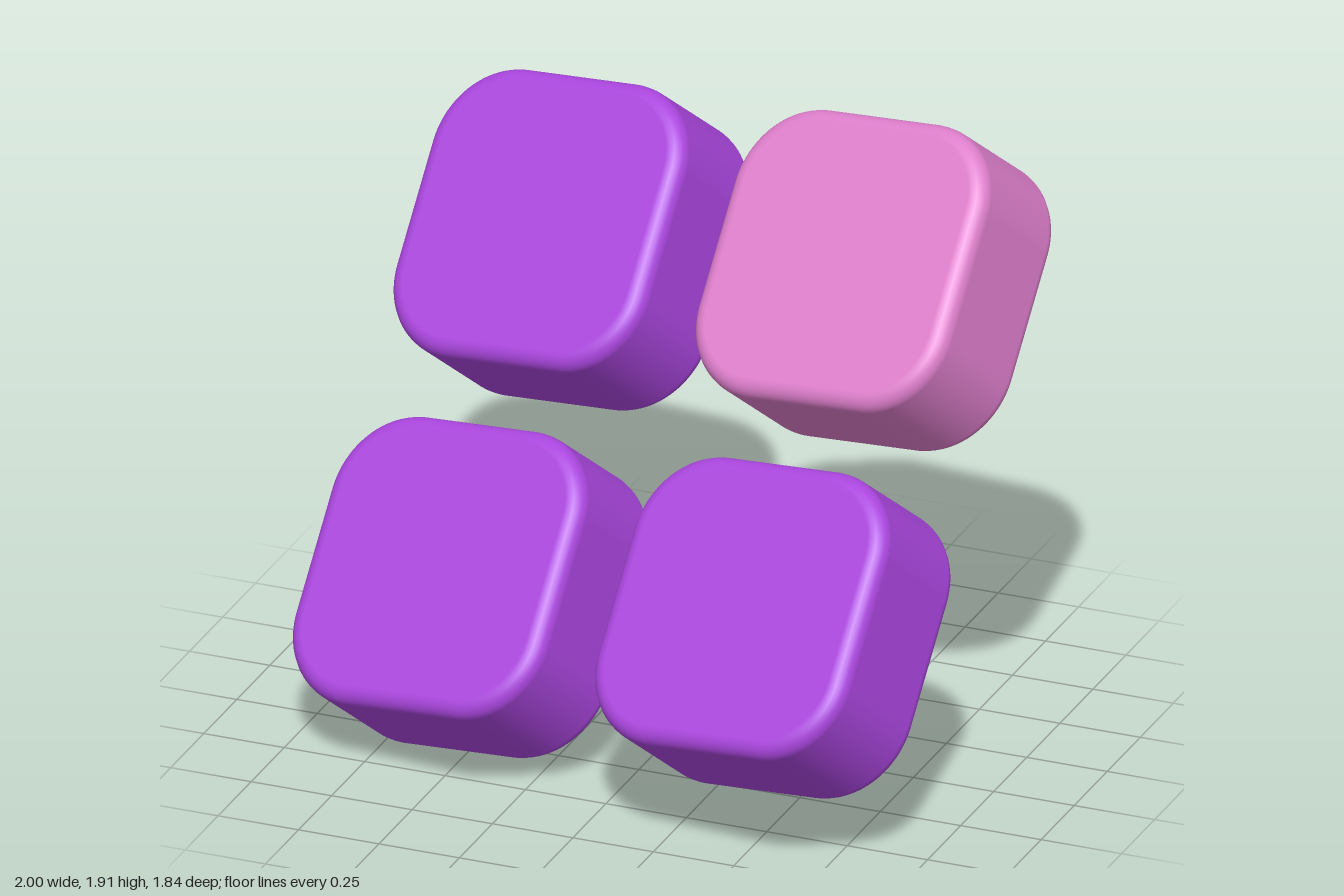
import * as THREE from 'three';

const CORE = 0.19;   // half width of the straight part of a side
const CORNER = 0.20; // corner radius before the soft edge is added
const DEPTH = 0.16;  // half depth before the soft edge is added
const EDGE = 0.05;   // radius of the soft edge
const PITCH = 1.064; // distance between neighbouring tiles

const { clamp } = THREE.MathUtils;

// Thick square tile with round corners and soft edges
function tileGeometry() {
  const shape = new THREE.Shape();
  const q = Math.PI / 2;
  [[1, 1], [-1, 1], [-1, -1], [1, -1]].forEach(([sx, sy], i) => {
    shape.absarc(sx * CORE, sy * CORE, CORNER, i * q, (i + 1) * q, false);
  });
  shape.closePath();
  const geo = new THREE.ExtrudeGeometry(shape, {
    depth: 2 * DEPTH, bevelEnabled: true, bevelSize: EDGE,
    bevelThickness: EDGE, bevelSegments: 6, curveSegments: 14,
  });
  geo.translate(0, 0, -DEPTH);

  // Smooth normals: each points away from the nearest point of the inner core
  const pos = geo.attributes.position;
  const n = new THREE.Vector3();
  for (let i = 0; i < pos.count; i++) {
    const x = pos.getX(i), y = pos.getY(i), z = pos.getZ(i);
    const dx = x - clamp(x, -CORE, CORE);
    const dy = y - clamp(y, -CORE, CORE);
    const len = Math.hypot(dx, dy);
    const k = len > CORNER ? (len - CORNER) / len : 0;
    n.set(dx * k, dy * k, z - clamp(z, -DEPTH, DEPTH)).normalize();
    geo.attributes.normal.setXYZ(i, n.x, n.y, n.z);
  }
  return geo;
}

export function createModel() {
  const model = new THREE.Group();
  model.name = 'fourTiles';
  const purple = new THREE.MeshStandardMaterial({ color: 0xaa46de });
  purple.name = 'purple';
  const pink = new THREE.MeshStandardMaterial({ color: 0xdd7ecb });
  pink.name = 'pink';

  // Tilted plane that holds the two by two grid
  const across = new THREE.Vector3(1.03, 0.15, 0.22).normalize();
  const facing = across.clone().cross(new THREE.Vector3(0.03, 0.81, -0.69)).normalize();
  const upward = facing.clone().cross(across);
  const grid = new THREE.Group();
  grid.name = 'tileGrid';
  grid.quaternion.setFromRotationMatrix(new THREE.Matrix4().makeBasis(across, upward, facing));
  grid.position.y = 0.96;
  model.add(grid);

  const geo = tileGeometry();
  for (const [name, sx, sy, material] of [
    ['upperLeftTile', 1, 1, pink],
    ['upperRightTile', -1, 1, purple],
    ['lowerLeftTile', 1, -1, purple],
    ['lowerRightTile', -1, -1, purple],
  ]) {
    const tile = new THREE.Mesh(geo, material);
    tile.name = name;
    tile.position.set(sx * PITCH / 2, sy * PITCH / 2, 0);
    grid.add(tile);
  }
  return model;
}
